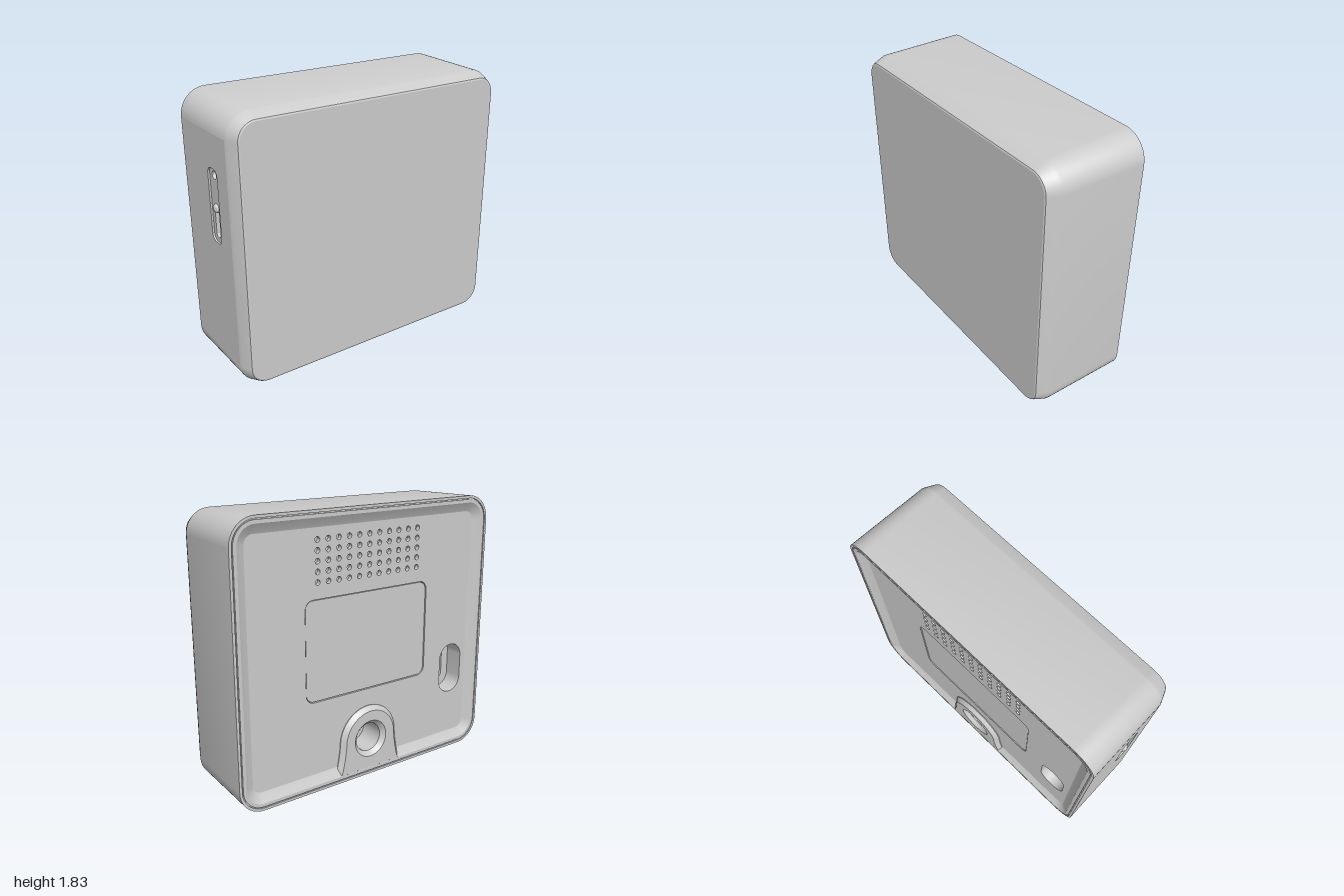
import * as THREE from 'three';
import { toCreasedNormals } from 'three/addons/utils/BufferGeometryUtils.js';

const HEIGHT = 1.83, RADIUS = 0.17, ARC = 12;
const BACK = -0.333, PANEL = -0.298, FRONT = 0.333;
const grey = new THREE.MeshStandardMaterial({ color: 0xcccccc });

// Counter-clockwise rounded rectangle as a list of points
function roundRect(cx, cy, w, h, r, n = ARC) {
  const pts = [];
  [[1, 1], [-1, 1], [-1, -1], [1, -1]].forEach(([sx, sy], c) => {
    for (let k = 0; k <= n; k++) {
      const a = (c + k / n) * Math.PI / 2;
      pts.push(new THREE.Vector2(cx + sx * (w / 2 - r) + r * Math.cos(a), cy + sy * (h / 2 - r) + r * Math.sin(a)));
    }
  });
  return pts;
}
const caseOutline = inset =>
  roundRect(0, HEIGHT / 2, 2 - 2 * inset, HEIGHT - 2 * inset, RADIUS - inset);

const circle = (x, y, r, n = 12) => Array.from({ length: n }, (_, i) => {
  const a = i / n * Math.PI * 2;
  return new THREE.Vector2(x + r * Math.cos(a), y + r * Math.sin(a));
});

function addMesh(parent, name, geometry, crease = 0.45) {
  const mesh = new THREE.Mesh(toCreasedNormals(geometry, crease), grey);
  mesh.name = name;
  parent.add(mesh);
  return mesh;
}

// Flat slab with holes, running from z to z + depth
function slab(parent, name, outline, holes, z, depth) {
  const shape = new THREE.Shape(outline);
  shape.holes = holes.map(h => new THREE.Path(h));
  const geometry = new THREE.ExtrudeGeometry(shape, { depth, bevelEnabled: false });
  return addMesh(parent, name, geometry.translate(0, 0, z));
}

// Skin through [inset, z] rings; one wall quad can be left open
function loftCase(profile, openBand) {
  const pos = [], idx = [], n = 4 * (ARC + 1), openSide = 2 * (ARC + 1) - 1;
  for (const [inset, z] of profile) for (const p of caseOutline(inset)) pos.push(p.x, p.y, z);
  for (let i = 0; i < profile.length - 1; i++) {
    for (let j = 0; j < n; j++) {
      if (i === openBand && j === openSide) continue;
      const a = i * n + j, b = i * n + (j + 1) % n;
      idx.push(a, a + n, b, b, a + n, b + n);
    }
  }
  const g = new THREE.BufferGeometry();
  g.setAttribute('position', new THREE.Float32BufferAttribute(pos, 3));
  g.setIndex(idx);
  return g;
}

function buildCase(model) {
  const profile = [
    [0.062, FRONT], [0.052, 0.329], [0.045, 0.318], [0.02, 0.258], [0.013, 0.24], // front bevel
    [0, BACK],                                                                    // drafted wall
    [0.018, BACK], [0.018, BACK + 0.008], [0.025, BACK + 0.008], [0.025, BACK],   // rim groove
    [0.048, BACK], [0.053, BACK + 0.003], [0.1, PANEL - 0.004], [0.11, PANEL],    // inner slope
  ];
  addMesh(model, 'caseShell', loftCase(profile, 4));
  const face = new THREE.ShapeGeometry(new THREE.Shape(caseOutline(0.062)));
  addMesh(model, 'frontFace', face.translate(0, 0, FRONT));
}

function buildBackPanel(model) {
  // Vent holes in a regular grid
  const vents = [];
  for (let c = -5; c <= 5; c++)
    for (let r = 0; r < 5; r++) vents.push(circle(c * 0.079, 1.385 + r * 0.0655, 0.018));

  const door = roundRect(0, 0.945, 0.98, 0.67, 0.06);
  const pocket = roundRect(-0.745, 0.6, 0.2, 0.36, 0.098);
  slab(model, 'backPanel', caseOutline(0.11), [...vents, door, pocket, circle(0, 0.26, 0.17, 32)], PANEL, 0.03);
  slab(model, 'ventBacking', roundRect(0, 1.515, 0.9, 0.36, 0.02), [], PANEL + 0.03, 0.01);
  slab(model, 'doorBacking', roundRect(0, 0.945, 1.04, 0.72, 0.06), [], PANEL + 0.03, 0.01);
  slab(model, 'door', roundRect(0, 0.945, 0.97, 0.66, 0.055), [], PANEL + 0.005, 0.025);

  // Deep pocket with the connector opening in its floor
  const surround = roundRect(-0.745, 0.6, 0.26, 0.42, 0.12);
  slab(model, 'pocketWall', surround, [pocket], PANEL + 0.03, 0.1);
  slab(model, 'pocketFloor', surround, [roundRect(-0.745, 0.6, 0.08, 0.23, 0.039)], PANEL + 0.13, 0.05);
  slab(model, 'connectorBack', surround, [], PANEL + 0.18, 0.01);
}

// Raised arch with a chamfered mounting socket
function buildMount(model) {
  const bevel = 0.03, y = 0.26;
  const arch = new THREE.Shape();
  arch.moveTo(-0.24, 0.05);
  arch.lineTo(0.24, 0.05);
  arch.quadraticCurveTo(0.21, 0.14, 0.2, y);
  arch.absarc(0, y, 0.2, 0, Math.PI, false);
  arch.quadraticCurveTo(-0.21, 0.14, -0.24, 0.05);
  arch.holes.push(new THREE.Path(circle(0, y, 0.13, 40)));
  const g = new THREE.ExtrudeGeometry(arch, {
    depth: 0.2, bevelThickness: bevel, bevelSize: bevel, bevelSegments: 1, curveSegments: 20,
  });
  addMesh(model, 'mountArch', g.translate(0, 0, BACK + bevel));
  slab(model, 'socketEnd', circle(0, y, 0.15, 40), [], BACK + 0.21, 0.01);
}

// Side wall with a recessed slide switch and a small button hole
function buildSwitch(model) {
  const run = 0.24 - BACK, tilt = Math.atan2(0.013, run), width = Math.hypot(run, 0.013), u = 0.383;
  const side = new THREE.Group();
  side.name = 'switchSide';
  side.position.set(-1, 0, BACK);
  side.rotation.y = tilt - Math.PI / 2; // local x runs to the front, local z points outward
  model.add(side);

  const wall = [[0, RADIUS], [width, RADIUS], [width, HEIGHT - RADIUS], [0, HEIGHT - RADIUS]]
    .map(p => new THREE.Vector2(...p));
  slab(side, 'sideWall', wall, [roundRect(u, 1.2, 0.12, 0.48, 0.045)], -0.012, 0.012);
  const plate = roundRect(u, 1.2, 0.16, 0.52, 0.05);
  const track = roundRect(u, 1.1, 0.05, 0.22, 0.024);
  slab(side, 'switchPlate', plate, [circle(u, 1.395, 0.026, 20), track], -0.042, 0.03);
  slab(side, 'switchBacking', plate, [], -0.052, 0.01);
  const knob = addMesh(side, 'switchKnob', new THREE.SphereGeometry(0.032, 20, 14));
  knob.position.set(u, 1.185, -0.022);
}

export function createModel() {
  const model = new THREE.Group();
  model.name = 'wallUnit';
  buildCase(model);
  buildBackPanel(model);
  buildMount(model);
  buildSwitch(model);
  return model;
}
